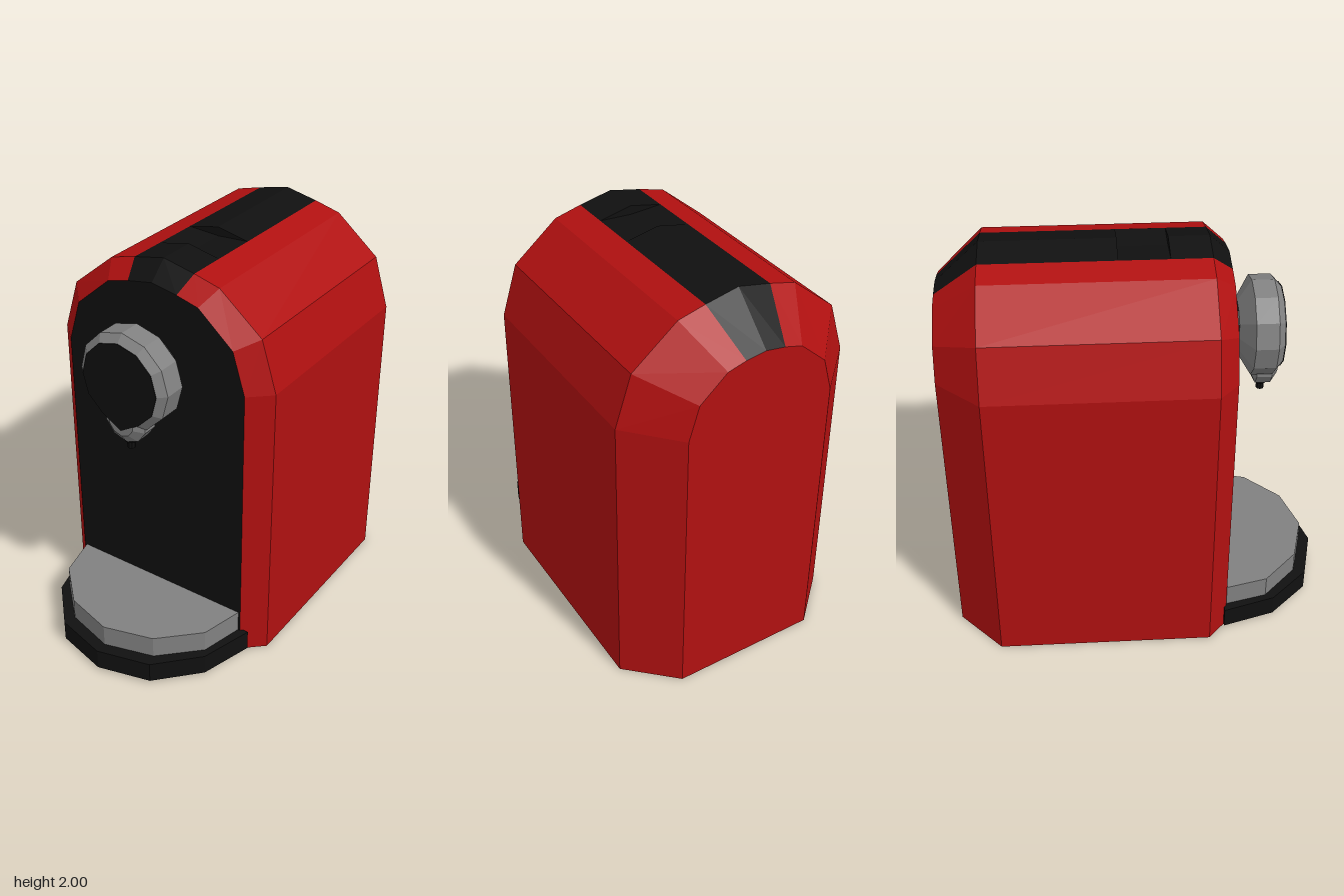
import * as THREE from 'three';

const mat = (name, color) => {
  const m = new THREE.MeshStandardMaterial({ color, flatShading: true });
  m.name = name;
  return m;
};

// half outline (x >= 0) ending on the centre line, mirrored to a full one
const mirror = (half) => [...half, ...half.slice(0, -1).reverse().map(([x, y]) => [-x, y])];
const toShape = (pts) => new THREE.Shape(pts.map(([x, y]) => new THREE.Vector2(x, y)));

// skin between outlines, using outline edges from..to
function loft(sections, from, to) {
  const pos = [];
  for (let s = 0; s < sections.length - 1; s++) {
    const p = sections[s], q = sections[s + 1];
    for (let i = from; i < to; i++) {
      const a = [...p.pts[i], p.z], b = [...p.pts[i + 1], p.z];
      const c = [...q.pts[i + 1], q.z], d = [...q.pts[i], q.z];
      pos.push(...a, ...d, ...c, ...a, ...c, ...b);
    }
  }
  const g = new THREE.BufferGeometry();
  g.setAttribute('position', new THREE.Float32BufferAttribute(pos, 3));
  g.computeVertexNormals();
  return g;
}

// faceted round part whose axis runs along z
const drum = (profile, sides) =>
  new THREE.LatheGeometry(profile.map(([r, z]) => new THREE.Vector2(r, z)), sides).rotateX(Math.PI / 2);

// plate from a half plan (x, z)
const plate = (half, y0, y1) =>
  new THREE.ExtrudeGeometry(toShape(mirror(half)), { depth: y1 - y0, bevelEnabled: false })
    .rotateX(Math.PI / 2).translate(0, y1, 0);

export function createModel() {
  const group = new THREE.Group();
  const red = mat('red shell', 0xb01010);
  const black = mat('black plastic', 0x101010);
  const grey = mat('grey metal', 0x808080);
  const add = (name, geo, material, x = 0, y = 0, z = 0) => {
    const m = new THREE.Mesh(geo, material);
    m.name = name;
    m.position.set(x, y, z);
    group.add(m);
    return m;
  };

  // body outlines: front, middle and back
  const front = mirror([[0.5, 0], [0.5, 1.49], [0.435, 1.7], [0.25, 1.86], [0.135, 1.89], [0, 1.915]]);
  const midHalf = [[0.605, 0], [0.605, 1.49], [0.525, 1.745], [0.3, 1.93], [0.165, 1.965]];
  const mid = mirror([...midHalf, [0, 2]]);
  const dip = mirror([...midHalf, [0, 1.955]]);
  const back = mirror([[0.375, 0], [0.375, 1.47], [0.325, 1.64], [0.19, 1.76], [0.1, 1.785], [0, 1.8]]);
  const sections = [
    { z: 0.43, pts: front }, { z: 0.335, pts: mid },
    { z: 0.14, pts: mid }, { z: 0.14, pts: dip },
    { z: -0.1, pts: dip }, { z: -0.1, pts: mid },
    { z: -0.74, pts: mid }, { z: -0.955, pts: back },
  ];
  const plain = [sections[0], sections[1], sections[6], sections[7]];
  add('leftShell', loft(plain, 0, 4), red);
  add('rightShell', loft(plain, 6, 10), red);
  add('topStripe', loft(sections, 4, 6), black);
  add('frontPanel', new THREE.ShapeGeometry(toShape(front)), black, 0, 0, 0.43);
  add('backPanel', new THREE.ShapeGeometry(toShape(back)).rotateY(Math.PI), red, 0, 0, -0.955);
  const floor = mirror([[0, -0.955], [0.375, -0.955], [0.605, -0.74], [0.605, 0.335], [0.5, 0.43], [0, 0.43]]);
  add('underside', new THREE.ShapeGeometry(toShape(floor.slice(0, -1))).rotateX(Math.PI / 2), black);

  // drip tray
  add('trayBase', plate([[0.54, 0.418], [0.46, 0.685], [0.27, 0.885], [0, 0.955]], 0.015, 0.122), black);
  add('trayTop', plate([[0.49, 0.425], [0.435, 0.645], [0.25, 0.825], [0, 0.895]], 0.12, 0.235), grey);

  // brewing head
  const headY = 1.515;
  add('headNeck', drum([[0.133, 0.42], [0.133, 0.49]], 12), black, 0, headY);
  add('head', drum([[0, 0.48], [0.135, 0.48], [0.245, 0.545], [0.245, 0.655], [0.205, 0.69], [0, 0.69]], 12), grey, 0, headY);
  add('spout', drum([[0, 0.55], [0.045, 0.55], [0.118, 0.58], [0.118, 0.655], [0.07, 0.69], [0, 0.69]], 10), grey, 0, 1.315);

  // black face plate, drawn down to a point over the spout
  const face = [];
  for (let i = 0; i < 12; i++) {
    const a = (i * Math.PI) / 6;
    face.push([0.207 * Math.cos(a), i === 9 ? -0.242 : 0.207 * Math.sin(a)]);
  }
  add('headFace', new THREE.ExtrudeGeometry(toShape(face), { depth: 0.004, bevelEnabled: false }), black, 0, headY, 0.689);

  // nozzle
  add('nozzleCollar', new THREE.CylinderGeometry(0.045, 0.03, 0.035, 8), black, 0, 1.202, 0.618);
  add('nozzleTip', new THREE.CylinderGeometry(0.02, 0.02, 0.05, 8), black, 0, 1.173, 0.618);

  return group;
}
